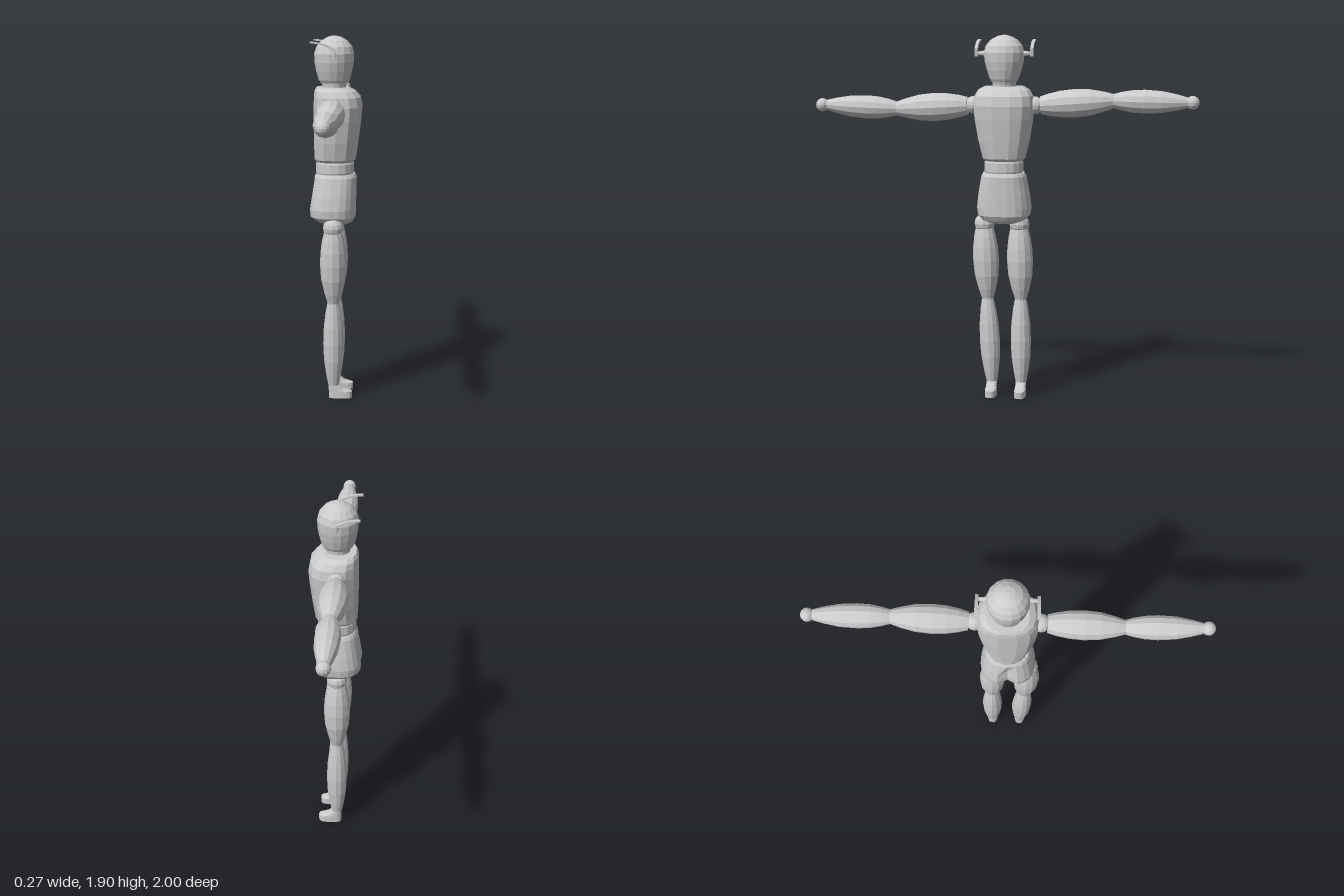
import * as THREE from 'three';

const CX = -0.014; // depth axis of the limbs; the figure faces +x, arms along z
const V = (x, y, z) => new THREE.Vector3(x, y, z);

function makeMesh(geometry, name) {
  const mat = new THREE.MeshStandardMaterial({ color: 0xcccccc, flatShading: true });
  const mesh = new THREE.Mesh(geometry, mat);
  mesh.name = name;
  return mesh;
}

// Closed solid through stacked rings [y, backX, frontX, halfWidthZ]; power > 2 squares the ring.
function loft(name, rings, sides, power = 2, adjust = null) {
  const pos = [], idx = [];
  const round = (v) => Math.sign(v) * Math.abs(v) ** (2 / power);
  for (const [y, back, front, hz] of rings) {
    for (let j = 0; j < sides; j++) {
      const a = ((j + 0.5) / sides) * Math.PI * 2;
      const p = V((back + front) / 2 + ((front - back) / 2) * round(Math.cos(a)), y, hz * round(Math.sin(a)));
      if (adjust) adjust(p);
      pos.push(p.x, p.y, p.z);
    }
  }
  for (let i = 0; i < rings.length - 1; i++) {
    for (let j = 0; j < sides; j++) {
      const a = i * sides + j, b = i * sides + (j + 1) % sides;
      idx.push(a, a + sides, b, b, a + sides, b + sides);
    }
  }
  // End caps
  const last = (rings.length - 1) * sides, c = rings.length * sides;
  for (const r of [rings[0], rings[rings.length - 1]]) pos.push((r[1] + r[2]) / 2, r[0], 0);
  for (let j = 0; j < sides; j++) {
    const k = (j + 1) % sides;
    idx.push(c, j, k, c + 1, last + k, last + j);
  }
  const g = new THREE.BufferGeometry();
  g.setAttribute('position', new THREE.Float32BufferAttribute(pos, 3));
  g.setIndex(idx);
  g.computeVertexNormals();
  return makeMesh(g, name);
}

// Turned limb between two points; profile holds [fraction along, radius].
function limb(name, from, to, profile, sides = 12) {
  const dir = to.clone().sub(from), len = dir.length();
  const pts = [[0, 0], ...profile, [1, 0]].map(([t, r]) => new THREE.Vector2(r, t * len));
  const mesh = makeMesh(new THREE.LatheGeometry(pts, sides), name);
  mesh.position.copy(from);
  mesh.quaternion.setFromUnitVectors(V(0, 1, 0), dir.normalize());
  return mesh;
}

function ball(name, p, r) {
  const mesh = makeMesh(new THREE.SphereGeometry(r, 12, 8), name);
  mesh.position.copy(p);
  return mesh;
}

const barrel = (end0, max, end1, peak = 0.45) => [
  [0, end0], [peak * 0.25, end0 + (max - end0) * 0.45], [peak * 0.6, end0 + (max - end0) * 0.85],
  [peak, max], [peak + (1 - peak) * 0.4, end1 + (max - end1) * 0.85],
  [peak + (1 - peak) * 0.75, end1 + (max - end1) * 0.42], [1, end1],
];

function createArm(side, elbowY, handY, sag) {
  const arm = new THREE.Group();
  arm.name = side > 0 ? 'armA' : 'armB';
  const at = (y, z) => V(CX, y, side * z);
  arm.add(
    ball('shoulderJoint', at(1.54, 0.16), 0.046),
    limb('upperArm', at(1.54 + sag, 0.19), at(elbowY, 0.565), barrel(0.046, 0.073, 0.036, 0.47)),
    ball('elbowJoint', at(elbowY, 0.565), 0.036),
    limb('forearm', at(elbowY, 0.565), at(handY, 0.94), barrel(0.036, 0.061, 0.027, 0.42)),
    ball('hand', at(handY, 0.965), 0.035),
  );
  return arm;
}

function createLeg(side, hipZ, kneeZ, ankleZ) {
  const leg = new THREE.Group();
  leg.name = side > 0 ? 'legA' : 'legB';
  const at = (y, z) => V(CX, y, side * z);
  const foot = loft('foot', [
    [0, -0.04, 0.084, 0.03], [0.035, -0.04, 0.085, 0.03],
    [0.048, -0.04, 0.04, 0.029], [0.07, -0.04, 0.014, 0.028],
  ], 14, 2.8);
  foot.position.z = side * ankleZ;
  leg.add(
    ball('hipJoint', at(0.92, hipZ), 0.053),
    limb('thigh', at(0.895, hipZ), at(0.52, kneeZ), barrel(0.048, 0.069, 0.031, 0.45)),
    ball('kneeJoint', at(0.52, kneeZ), 0.032),
    limb('shin', at(0.52, kneeZ), at(0.07, ankleZ), barrel(0.031, 0.054, 0.029, 0.5)),
    foot,
  );
  return leg;
}

// Swept-back flat horn on a short peg at the side of the head
function createHorn(side) {
  const horn = new THREE.Group();
  horn.name = 'horn';
  const s = new THREE.Shape();
  s.moveTo(-0.018, 1.79);
  s.lineTo(-0.002, 1.79);
  s.lineTo(0.004, 1.83);
  s.quadraticCurveTo(-0.045, 1.872, -0.13, 1.876);
  s.lineTo(-0.13, 1.868);
  s.quadraticCurveTo(-0.055, 1.862, -0.014, 1.828);
  s.closePath();
  const blade = makeMesh(new THREE.ExtrudeGeometry(s, { depth: 0.016, bevelEnabled: false, curveSegments: 6 }), 'hornBlade');
  blade.position.z = side * 0.144 - 0.008;
  const peg = [[0, 0.016], [0.7, 0.01], [1, 0.008]];
  horn.add(blade, limb('hornPeg', V(-0.01, 1.805, side * 0.09), V(-0.01, 1.805, side * 0.15), peg, 8));
  return horn;
}

export function createModel() {
  const model = new THREE.Group();
  model.name = 'jointedFigure';

  // Egg-shaped head on a short neck
  model.add(loft('head', [
    [1.66, -0.085, 0.06, 0.066], [1.675, -0.094, 0.068, 0.075], [1.72, -0.107, 0.08, 0.09],
    [1.765, -0.115, 0.088, 0.101], [1.81, -0.117, 0.09, 0.105], [1.845, -0.105, 0.08, 0.095],
    [1.875, -0.08, 0.055, 0.07], [1.894, -0.045, 0.022, 0.035], [1.9, -0.02, -0.006, 0.007],
  ], 16));
  model.add(loft('neck', [[1.6, -0.075, 0.048, 0.06], [1.645, -0.075, 0.048, 0.06], [1.67, -0.08, 0.055, 0.063]], 14));

  // Chest with a flat back and forward bulge
  model.add(loft('chest', [
    [1.255, -0.108, 0.088, 0.1], [1.268, -0.116, 0.1, 0.112], [1.36, -0.118, 0.114, 0.135],
    [1.47, -0.119, 0.128, 0.153], [1.54, -0.119, 0.134, 0.158], [1.59, -0.118, 0.124, 0.152],
    [1.62, -0.115, 0.098, 0.135], [1.637, -0.107, 0.062, 0.105],
  ], 14, 2.5));
  model.add(loft('waist', [
    [1.17, -0.1, 0.08, 0.09], [1.2, -0.108, 0.09, 0.101], [1.245, -0.108, 0.09, 0.101], [1.27, -0.1, 0.08, 0.09],
  ], 16, 2.2));

  // Pelvis, with a cleft cut into the lower back
  model.add(loft('pelvis', [
    [0.928, -0.07, 0.055, 0.07], [0.945, -0.105, 0.085, 0.115], [0.97, -0.138, 0.099, 0.137],
    [1.01, -0.141, 0.1, 0.142], [1.08, -0.13, 0.102, 0.134], [1.175, -0.115, 0.104, 0.117],
    [1.192, -0.106, 0.095, 0.108],
  ], 21, 2.5, (p) => {
    if (p.x < -0.08 && Math.abs(p.z) < 0.012 && p.y < 1.1) p.x += 0.03;
  }));

  model.add(createArm(1, 1.517, 1.533, -0.005), createArm(-1, 1.566, 1.56, 0));
  model.add(createLeg(1, 0.104, 0.088, 0.066), createLeg(-1, 0.08, 0.088, 0.09));
  for (const side of [1, -1]) model.add(createHorn(side));
  return model;
}
